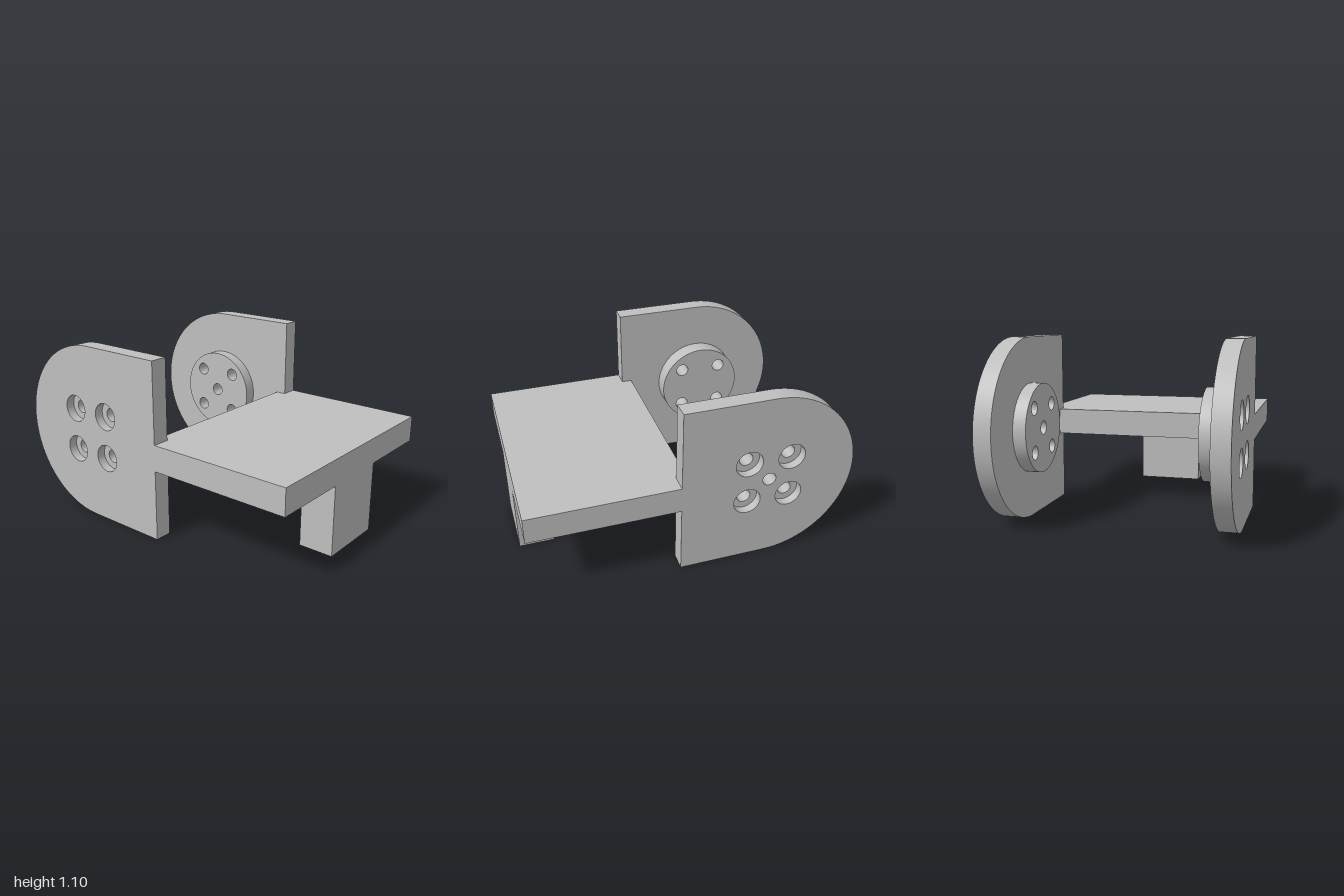
import * as THREE from 'three';
import { toCreasedNormals } from 'three/addons/utils/BufferGeometryUtils.js';

const CX = -0.455, CY = 0.55;      // axis of the hubs and rounded plate ends
const BOLT = 0.134;                // bolt offset from the axis
const HOLE_R = 0.042, BORE_R = 0.085, BORE_DEPTH = 0.055;
const INNER = 0.597, OUTER = 0.705; // plate faces along z

export function createModel() {
  const model = new THREE.Group();
  model.name = 'bracket';
  const grey = new THREE.MeshStandardMaterial({ color: 0xbfbfbf });
  grey.name = 'plain grey';

  const add = (name, geometry, parent = model) => {
    const mesh = new THREE.Mesh(geometry, grey);
    mesh.name = name;
    parent.add(mesh);
  };

  // Extrude a shape between two z positions, smooth around the curves
  const slab = (shape, z0, z1) => {
    const g = new THREE.ExtrudeGeometry(shape, { depth: z1 - z0, bevelEnabled: false, curveSegments: 40 });
    return toCreasedNormals(g.translate(0, 0, z0), 0.5);
  };

  const box = (x0, x1, y0, y1, z0, z1) =>
    new THREE.BoxGeometry(x1 - x0, y1 - y0, z1 - z0)
      .translate((x0 + x1) / 2, (y0 + y1) / 2, (z0 + z1) / 2);

  const plateShape = () => {
    const s = new THREE.Shape();
    s.moveTo(0.09, 0);
    s.lineTo(0.09, 1.1);
    s.lineTo(CX, 1.1);
    s.absarc(CX, CY, 0.55, Math.PI / 2, Math.PI * 1.5, false);
    s.closePath();
    return s;
  };

  const hubShape = () => new THREE.Shape().absarc(CX, CY, 0.272, 0, Math.PI * 2, false);

  // Four bolt holes, plus an optional one on the axis
  const drill = (shape, radius, centre) => {
    const hole = (x, y, r) =>
      shape.holes.push(new THREE.Path().absarc(x, y, r, 0, Math.PI * 2, true));
    for (const sx of [-1, 1])
      for (const sy of [-1, 1]) hole(CX + sx * BOLT, CY + sy * BOLT, radius);
    if (centre) hole(CX, CY, HOLE_R);
    return shape;
  };

  // Side plates: counterbored outer layer, drilled inner layer, raised hub
  const sides = [
    { name: 'frontPlate', sign: 1, hubFace: 0.487, centre: false },
    { name: 'backPlate', sign: -1, hubFace: 0.517, centre: true },
  ];
  for (const { name, sign, hubFace, centre } of sides) {
    const side = new THREE.Group();
    side.name = name;
    model.add(side);
    const layer = (part, shape, a, b) =>
      add(part, slab(shape, Math.min(sign * a, sign * b), Math.max(sign * a, sign * b)), side);
    const step = OUTER - BORE_DEPTH;
    layer('plateOuterLayer', drill(plateShape(), BORE_R, centre), step, OUTER);
    layer('plateInnerLayer', drill(plateShape(), HOLE_R, centre), INNER, step);
    layer('hub', drill(hubShape(), HOLE_R, centre), hubFace, INNER);
  }

  // Deck, with a tongue reaching in between the plates
  add('deck', box(0.09, 1, 0.44, 0.603, -OUTER, OUTER));
  add('deckTongue', box(0.025, 0.09, 0.44, 0.603, -INNER, INNER));

  // Support leg
  add('leg', box(0.782, 1, 0, 0.44, -0.217, 0.217));

  return model;
}
